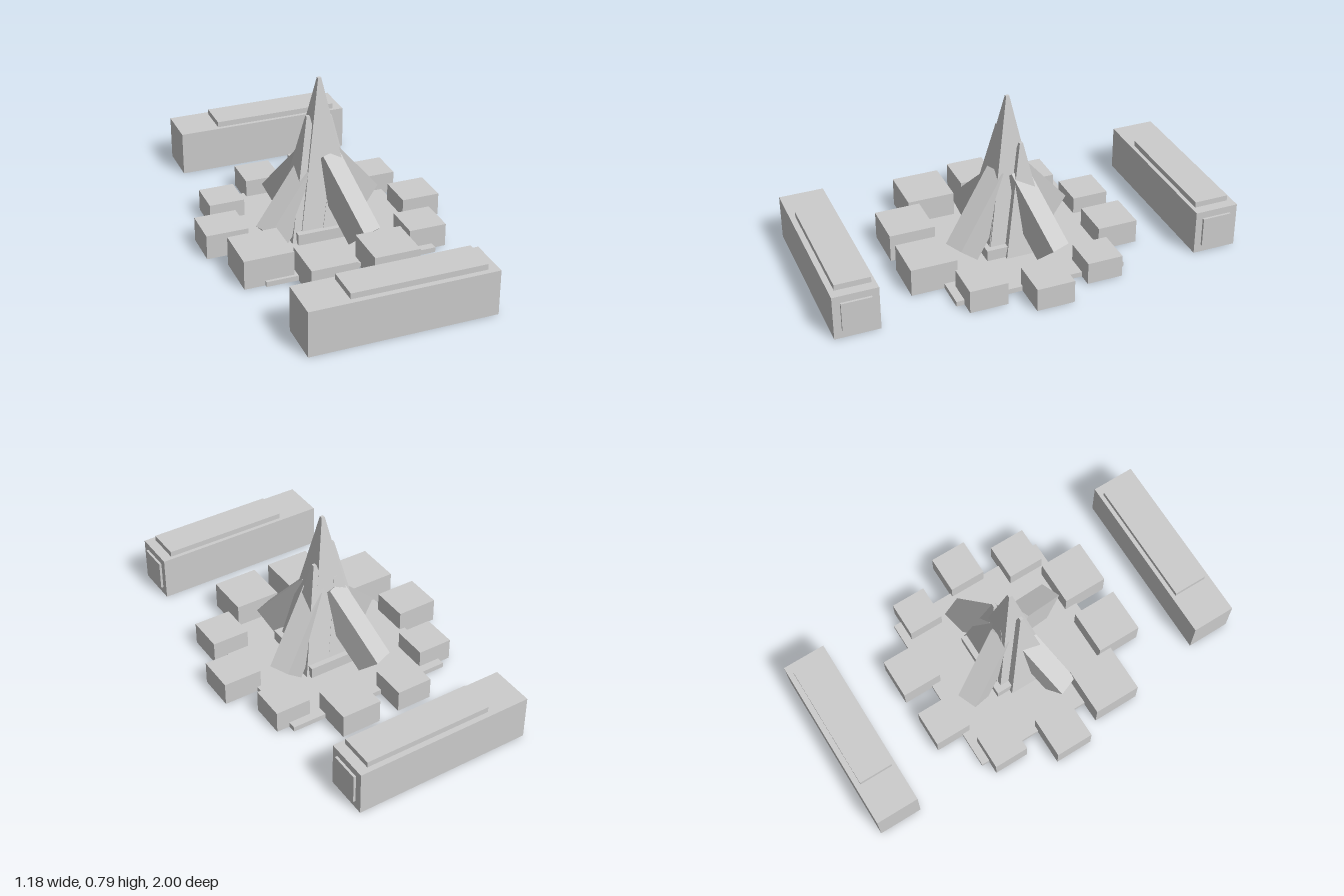
import * as THREE from 'three';

export function createModel() {
  const group = new THREE.Group();
  group.name = 'spireComplex';
  const grey = new THREE.MeshStandardMaterial({ color: 0xcccccc, flatShading: true });
  grey.name = 'lightGrey';

  // Box given by its limits on each axis
  function block(name, x0, x1, y0, y1, z0, z1) {
    const m = new THREE.Mesh(new THREE.BoxGeometry(x1 - x0, y1 - y0, z1 - z0), grey);
    m.position.set((x0 + x1) / 2, (y0 + y1) / 2, (z0 + z1) / 2);
    m.name = name;
    group.add(m);
  }

  // Square tapered spike with sides along the axes
  function spike(name, x, z, top, half) {
    const y0 = 0.01, h = top - y0;
    const g = new THREE.CylinderGeometry(0.008 * Math.SQRT2, half * Math.SQRT2, h, 4);
    g.rotateY(Math.PI / 4);
    const m = new THREE.Mesh(g, grey);
    m.position.set(x, y0 + h / 2, z);
    m.name = name;
    group.add(m);
  }

  // Ground slab and plinth
  block('baseSlab', -0.42, 0.42, 0, 0.025, -0.42, 0.42);
  block('plinth', -0.17, 0.17, 0.02, 0.08, -0.175, 0.17);

  // Ring of low buildings: x0, x1, z0, z1, height
  [
    [-0.24, -0.06, -0.56, -0.38, 0.11],
    [0.05, 0.25, -0.57, -0.37, 0.12],
    [-0.485, -0.31, -0.38, -0.205, 0.11],
    [0.31, 0.485, -0.38, -0.205, 0.11],
    [-0.595, -0.39, -0.10, 0.09, 0.122],
    [0.40, 0.59, -0.09, 0.095, 0.115],
    [-0.52, -0.28, 0.17, 0.405, 0.145],
    [0.305, 0.49, 0.195, 0.38, 0.115],
    [-0.265, -0.04, 0.355, 0.58, 0.138],
    [0.04, 0.265, 0.355, 0.58, 0.138],
  ].forEach(([x0, x1, z0, z1, h]) => block('ringBuilding', x0, x1, 0, h, z0, z1));

  // Central spire with smaller spikes grown into it
  spike('mainSpire', 0, 0, 0.79, 0.155);
  spike('leftSpike', -0.065, 0.02, 0.615, 0.13);
  spike('rightSpike', 0.07, -0.04, 0.57, 0.12);
  spike('frontSpike', 0.05, 0.06, 0.455, 0.1);
  spike('backSpike', -0.03, -0.06, 0.48, 0.1);

  // Slanted buttresses leaning on the spire
  const footR = 0.355, footY = 0.12, topR = 0.08, thick = 0.14;
  [[0.39, 0.92, 0.43], [-0.38, -0.93, 0.43], [0.92, -0.39, 0.425], [-0.92, 0.36, 0.39]]
    .forEach(([dx, dz, topY]) => {
      const tilt = Math.atan2(footR - topR, topY - footY);
      const length = Math.hypot(footR - topR, topY - footY);
      const holder = new THREE.Group();
      holder.name = 'buttress';
      holder.rotation.y = Math.atan2(dx, dz);
      const m = new THREE.Mesh(new THREE.BoxGeometry(0.103, length, thick), grey);
      m.name = 'buttressBeam';
      m.rotation.x = -tilt;
      m.position.set(
        0,
        (footY + topY) / 2 - Math.sin(tilt) * thick / 2,
        (footR + topR) / 2 - Math.cos(tilt) * thick / 2
      );
      holder.add(m);
      group.add(holder);
    });

  // Two long halls with roof plates and end panels
  for (const s of [1, -1]) {
    const hall = (name, x0, x1, y0, y1, za, zb) =>
      block(name, x0, x1, y0, y1, Math.min(s * za, s * zb), Math.max(s * za, s * zb));
    hall('longHall', -0.445, 0.445, 0, 0.222, 0.783, 1);
    hall('roofPlate', -0.245, 0.395, 0.215, 0.25, 0.803, 0.973);
    hall('endPanel', 0.44, 0.457, 0.04, 0.187, 0.818, 0.963);
  }

  return group;
}
